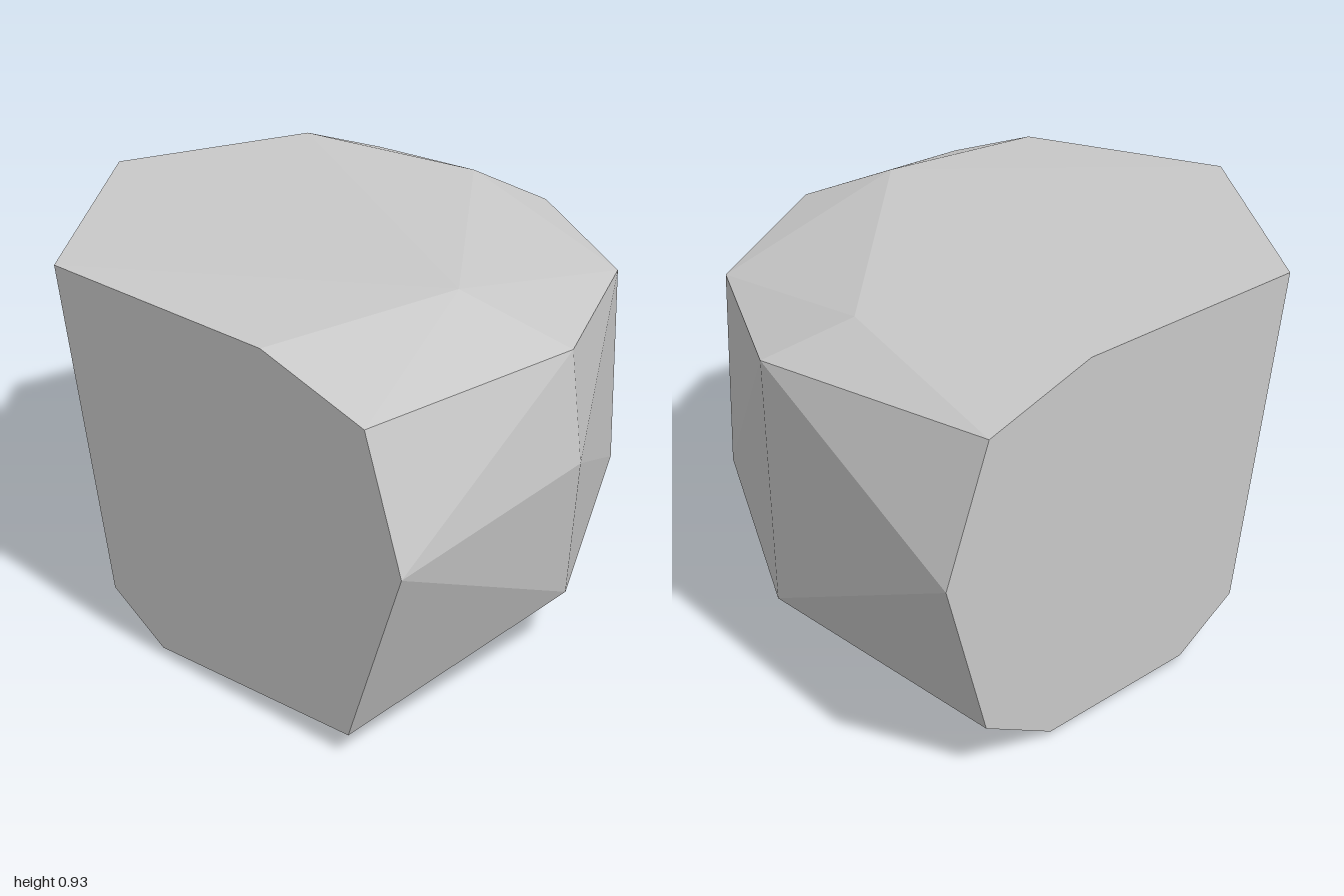
import * as THREE from 'three';
import { ConvexGeometry } from 'three/addons/geometries/ConvexGeometry.js';

// Quarter-round faceted rock: rings of corners swept from the front cut to the side cut.
const rings = {
  crown: [[-0.22, 0.93, 1], [-1, 0.93, 0.22]],
  topBevel: [[0.55, 0.9, 1], [0.55, 0.9, 0.37], [-0.35, 0.87, -0.64], [-1, 0.9, -0.54]],
  shoulder: [[0.88, 0.8, 1], [0.83, 0.79, 0.27], [0.42, 0.76, -0.4], [-0.21, 0.77, -0.82], [-1, 0.8, -0.87]],
  belly: [[0.99, 0.49, 1], [0.88, 0.52, 0.29], [-1, 0.49, -1]],
  lowerBevel: [[0.82, 0.05, 1], [0.82, 0.15, 0.26], [0.42, 0.21, -0.4], [-0.26, 0.16, -0.83], [-1, 0.11, -0.87]],
  foot: [[0.67, 0, 0.38], [0.31, 0.05, -0.23], [-0.36, 0, -0.64], [-1, 0.01, -0.65]],
  innerFoot: [[0.15, 0.02, 1], [-1, 0.02, -0.16]],
  innerEdge: [[-0.04, 0.12, 1], [-1, 0.12, 0.04]],
};

export function createModel() {
  const group = new THREE.Group();
  group.name = 'rockCorner';

  const stone = new THREE.MeshStandardMaterial({ color: 0xc8c8c8 });
  stone.name = 'stone grey';
  stone.flatShading = true;

  // The rock is convex, so its facets are the hull of the corner rings.
  const corners = Object.values(rings).flat().map((p) => new THREE.Vector3(...p));
  const rock = new THREE.Mesh(new ConvexGeometry(corners), stone);
  rock.name = 'rock';
  group.add(rock);
  return group;
}
